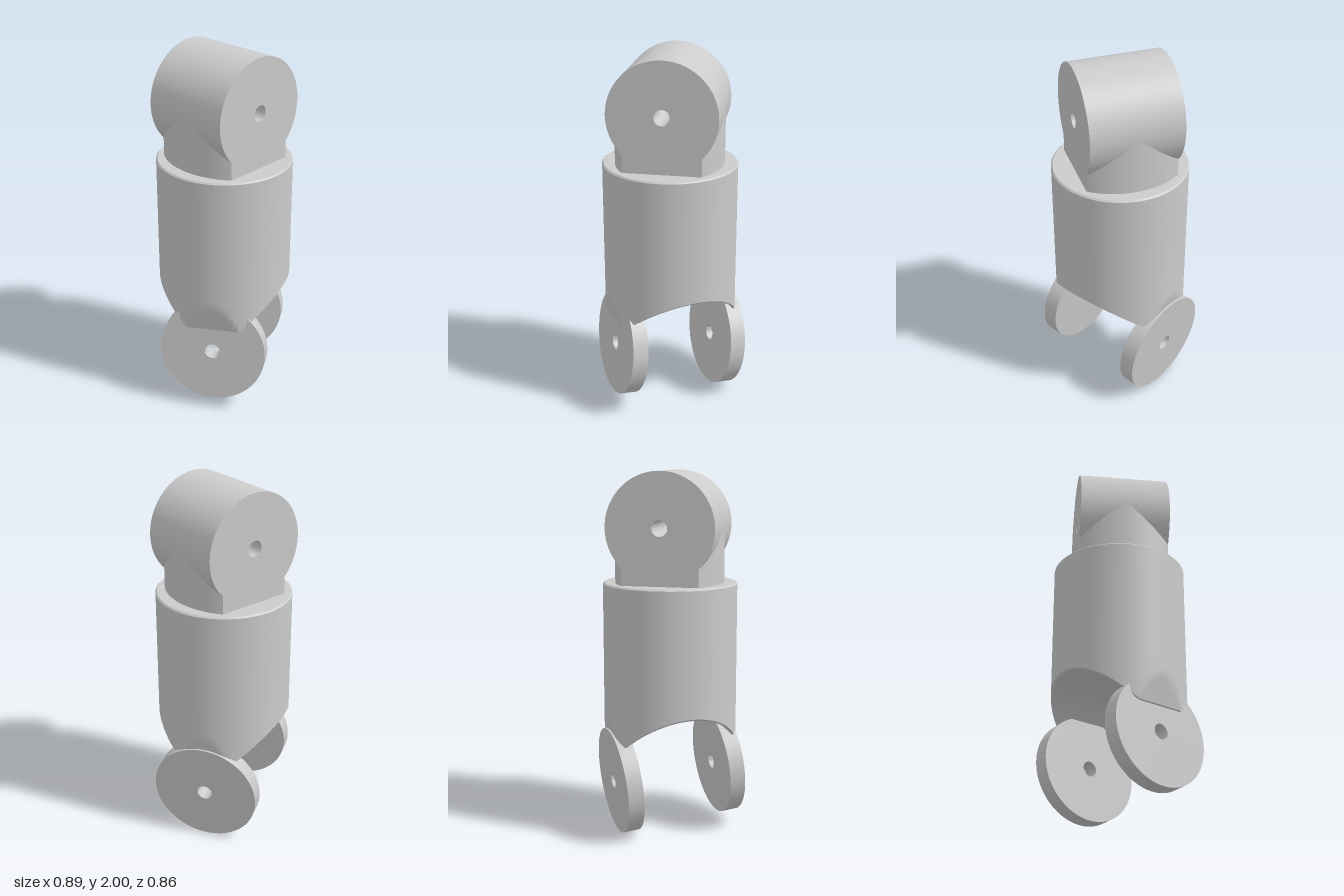
import * as THREE from 'three';
import { toCreasedNormals } from 'three/addons/utils/BufferGeometryUtils.js';

const MAT = new THREE.MeshStandardMaterial({ color: 0xcccccc });
const YAW = THREE.MathUtils.degToRad(32);    // lower joint is turned about the barrel
const TILT = THREE.MathUtils.degToRad(-5.4); // fork is swung a little about its joint
const JOINT_Y = 0.328, EAR_Y = 1.705;
const EAR_R = 0.295, HOLE_R = 0.043, HALF_GAP = 0.25, FORK_HALF = 0.337;
const BARREL_R = 0.368, BARREL_TOP = 1.4;

function part(name, geometry, parent) {
  const mesh = new THREE.Mesh(toCreasedNormals(geometry, 0.3), MAT);
  mesh.name = name;
  parent.add(mesh);
  return mesh;
}

const extrude = (shape, depth) =>
  new THREE.ExtrudeGeometry(shape, { depth, bevelEnabled: false, curveSegments: 48 });

// Round disc with a pin hole, extruded along z
function disc(depth) {
  const shape = new THREE.Shape().absarc(0, 0, EAR_R, 0, Math.PI * 2);
  shape.holes.push(new THREE.Path().absarc(0, 0, HOLE_R, 0, Math.PI * 2, true));
  return extrude(shape, depth);
}

// Solid barrel: arched channel below (axis z), side flats near the fork, chamfered top
function barrelGeometry() {
  const cols = 96, rows = [];
  const archY = (x, r) => JOINT_Y + Math.sqrt(r * r - x * x);
  const clamp = (x, m) => Math.max(-m, Math.min(m, x));
  const flat = y => FORK_HALF + Math.max(0, y - 0.505) * 0.19;
  // Underside of the channel, from the centre out to its bevelled rim
  for (const k of [0.001, 0.2, 0.4, 0.6, 0.8, 0.9, 0.975])
    rows.push((c, s) => {
      const x = k * clamp(BARREL_R * c, FORK_HALF);
      return [x, archY(x, 0.371), k * BARREL_R * s];
    });
  // Lower wall, pulled in to the sloping flats
  for (let i = 0; i <= 10; i++)
    rows.push((c, s) => {
      const y0 = archY(clamp(BARREL_R * c, FORK_HALF), 0.38);
      const y = y0 + (0.74 - y0) * i / 10;
      return [clamp(BARREL_R * c, flat(y)), y, BARREL_R * s];
    });
  // Upper wall, chamfer and top
  for (const [r, y] of [[BARREL_R, BARREL_TOP - 0.008], [0.36, BARREL_TOP], [0.001, BARREL_TOP]])
    rows.push((c, s) => [r * c, y, r * s]);

  const pos = [], index = [], w = cols + 1;
  rows.forEach((f, i) => {
    for (let j = 0; j <= cols; j++) {
      const a = (j % cols) / cols * Math.PI * 2;
      pos.push(...f(Math.cos(a), Math.sin(a)));
      if (i < rows.length - 1 && j < cols) {
        const p = i * w + j;
        index.push(p, p + w, p + 1, p + 1, p + w, p + w + 1);
      }
    }
  });
  const g = new THREE.BufferGeometry();
  g.setAttribute('position', new THREE.Float32BufferAttribute(pos, 3));
  g.setIndex(index);
  g.computeVertexNormals();
  return g;
}

export function createModel() {
  const model = new THREE.Group();
  model.name = 'jointLink';

  // Upper ear, a horizontal cylinder with a pin hole
  part('upperEar', disc(HALF_GAP * 2).translate(0, EAR_Y, -HALF_GAP), model);

  // Oval neck cut flat at front and back
  const rz = 0.356, a = Math.asin(HALF_GAP / rz);
  const neck = new THREE.Shape();
  neck.absellipse(0, 0, EAR_R, rz, -a, a);
  neck.absellipse(0, 0, EAR_R, rz, Math.PI - a, Math.PI + a);
  part('neck', extrude(neck, 0.27).rotateX(-Math.PI / 2).translate(0, 1.385, 0), model);

  // Tips of the neck that run up into the ear, leaving the pin hole clear
  for (const mid of [0, Math.PI]) {
    const tip = new THREE.Shape().absellipse(0, 0, EAR_R, rz, mid - 0.4, mid + 0.4);
    part('neckTip', extrude(tip, 0.055).rotateX(-Math.PI / 2).translate(0, 1.65, 0), model);
  }

  // Barrel, turned to line up with the lower joint
  part('barrel', barrelGeometry(), model).rotation.y = YAW;

  // Fork with two round cheeks
  const fork = new THREE.Group();
  fork.name = 'fork';
  fork.position.y = JOINT_Y;
  fork.rotation.set(0, YAW, TILT, 'YXZ');
  for (const x of [HALF_GAP, -FORK_HALF])
    part('forkCheek', disc(FORK_HALF - HALF_GAP).rotateY(Math.PI / 2).translate(x, 0, 0), fork);
  model.add(fork);

  return model;
}
